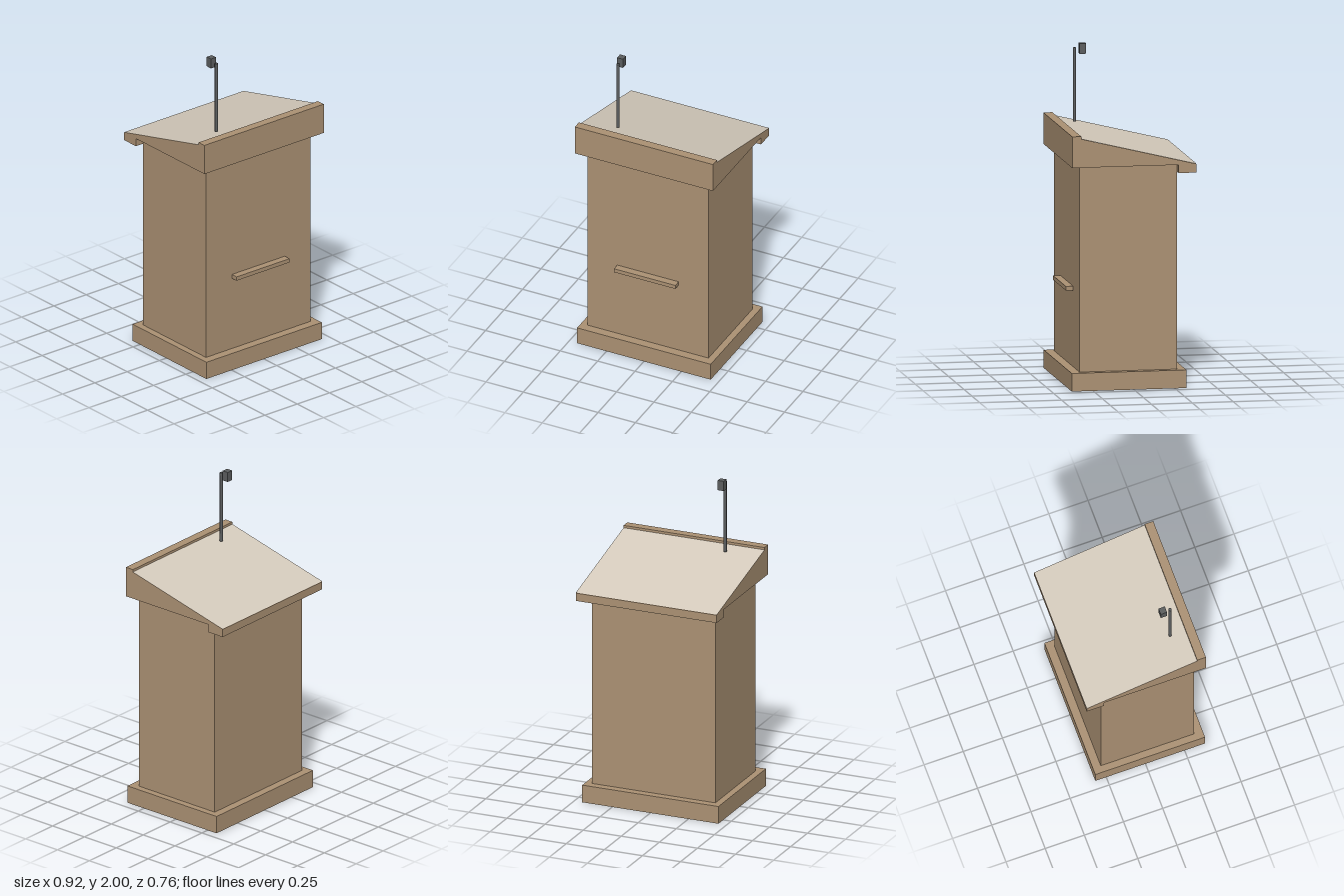
import * as THREE from 'three';

const wood = new THREE.MeshStandardMaterial({ name: 'wood', color: 0xac9274 });
const desktop = new THREE.MeshStandardMaterial({ name: 'cream desktop', color: 0xd6ccbd, side: THREE.DoubleSide });
const dark = new THREE.MeshStandardMaterial({ name: 'dark metal', color: 0x5c5e5f });

// Box given by its [min, max] extents on each axis
function box(name, [x0, x1], [y0, y1], [z0, z1], material) {
  const mesh = new THREE.Mesh(new THREE.BoxGeometry(x1 - x0, y1 - y0, z1 - z0), material);
  mesh.position.set((x0 + x1) / 2, (y0 + y1) / 2, (z0 + z1) / 2);
  mesh.name = name;
  return mesh;
}

export function createModel() {
  const group = new THREE.Group();
  group.name = 'lectern';

  // Plinth, hollow-topped cabinet and front ledge
  group.add(
    box('base', [-0.447, 0.447], [0, 0.11], [-0.32, 0.38], wood),
    box('body', [-0.405, 0.405], [0.11, 1.36], [-0.27, 0.325], wood),
    box('frontLedge', [-0.205, 0.205], [0.575, 0.6], [0.325, 0.37], wood),
  );

  // Desk: tall front board and low rear lip
  const halfW = 0.462, zBack = -0.38, zFront = 0.325, yBack = 1.363, yFront = 1.535;
  group.add(
    box('deskFrontBoard', [-halfW, halfW], [1.36, 1.55], [zFront, 0.38], wood),
    box('deskRearLip', [-halfW, halfW], [1.31, 1.36], [zBack, -0.27], wood),
  );

  // Thin wedge-shaped desk sides; the shape's x runs along -z
  const wedge = new THREE.Shape([
    new THREE.Vector2(-zFront, 1.36),
    new THREE.Vector2(-zBack, 1.36),
    new THREE.Vector2(-zBack, yBack - 0.001),
    new THREE.Vector2(-zFront, yFront - 0.001),
  ]);
  const thickness = 0.003;
  const wedgeGeo = new THREE.ExtrudeGeometry(wedge, { depth: thickness, bevelEnabled: false });
  wedgeGeo.rotateY(Math.PI / 2);
  for (const side of [-1, 1]) {
    const panel = new THREE.Mesh(wedgeGeo, wood);
    panel.position.x = side > 0 ? halfW - thickness : -halfW;
    panel.name = side > 0 ? 'deskSideLeft' : 'deskSideRight';
    group.add(panel);
  }

  // Sloping reading surface, open underneath
  const run = zFront - zBack, rise = yFront - yBack;
  const slopeGeo = new THREE.PlaneGeometry(2 * halfW, Math.hypot(run, rise));
  slopeGeo.rotateX(-Math.PI / 2 - Math.atan2(rise, run));
  const slope = new THREE.Mesh(slopeGeo, desktop);
  slope.position.set(0, (yFront + yBack) / 2, (zFront + zBack) / 2);
  slope.name = 'readingSurface';
  group.add(slope);

  // Microphone: slim stem with a square head set behind it
  const mic = new THREE.Group();
  mic.name = 'microphone';
  const stemGeo = new THREE.CylinderGeometry(0.01, 0.01, 0.45, 8);
  const stem = new THREE.Mesh(stemGeo, dark);
  stem.position.set(-0.247, 1.75, 0.23);
  stem.name = 'microphoneStem';
  mic.add(stem, box('microphoneHead', [-0.267, -0.227], [1.938, 2], [0.163, 0.203], dark));
  group.add(mic);

  return group;
}
